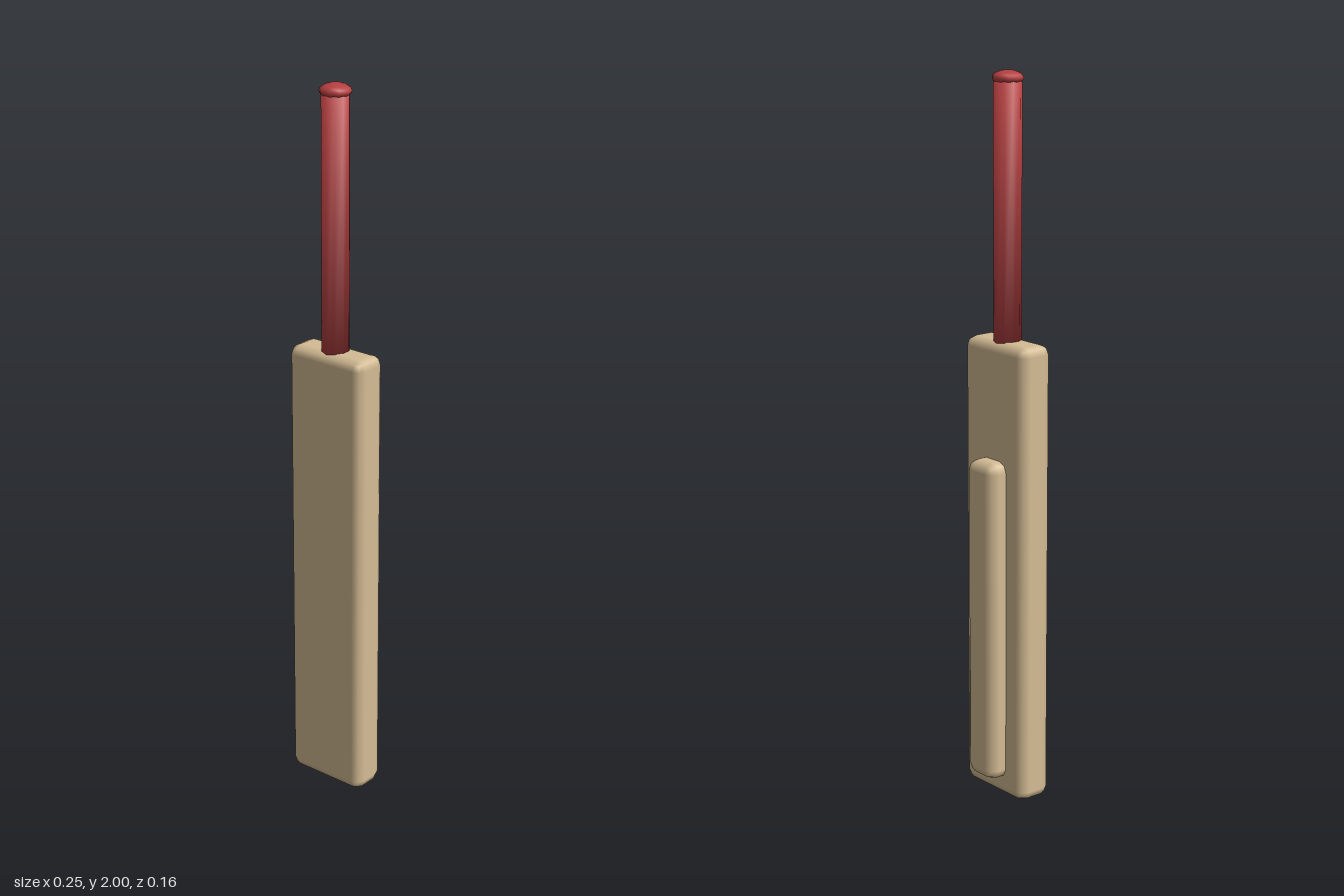
import * as THREE from 'three';
import { RoundedBoxGeometry } from 'three/addons/geometries/RoundedBoxGeometry.js';

const wood = new THREE.MeshStandardMaterial({ color: 0xd4bc94 });
wood.name = 'willow wood';
const grip = new THREE.MeshStandardMaterial({ color: 0xb53f40 });
grip.name = 'red grip';

export function createModel() {
  const bat = new THREE.Group();
  bat.name = 'bat';

  const add = (name, geometry, material, x, y, z) => {
    const mesh = new THREE.Mesh(geometry, material);
    mesh.name = name;
    mesh.position.set(x, y, z);
    bat.add(mesh);
    return mesh;
  };

  // Flat blade with softly rounded edges
  add('blade', new RoundedBoxGeometry(0.248, 1.287, 0.103, 1, 0.027), wood, 0, 0.6435, 0.0245);

  // Raised spine on the back, sunk into the blade
  add('spine', new RoundedBoxGeometry(0.112, 0.912, 0.079, 1, 0.029), wood, 0, 0.509, -0.0395);

  // Round handle; end normals lean outwards for soft shading along its length
  const handle = new THREE.CylinderGeometry(0.038, 0.038, 0.71, 10, 1);
  const { position, normal } = handle.attributes;
  const n = new THREE.Vector3();
  for (let i = 0; i < position.count; i++) {
    n.fromBufferAttribute(normal, i);
    if (Math.abs(n.y) > 0.5) continue;
    n.y = Math.sign(position.getY(i));
    n.normalize();
    normal.setXYZ(i, n.x, n.y, n.z);
  }
  add('handle', handle, grip, 0, 1.625, 0.0245);

  // Flattened knob at the top of the handle
  const knob = add('knob', new THREE.SphereGeometry(0.043, 10, 8), grip, 0, 1.98, 0.0245);
  knob.scale.y = 0.465;

  return bat;
}
